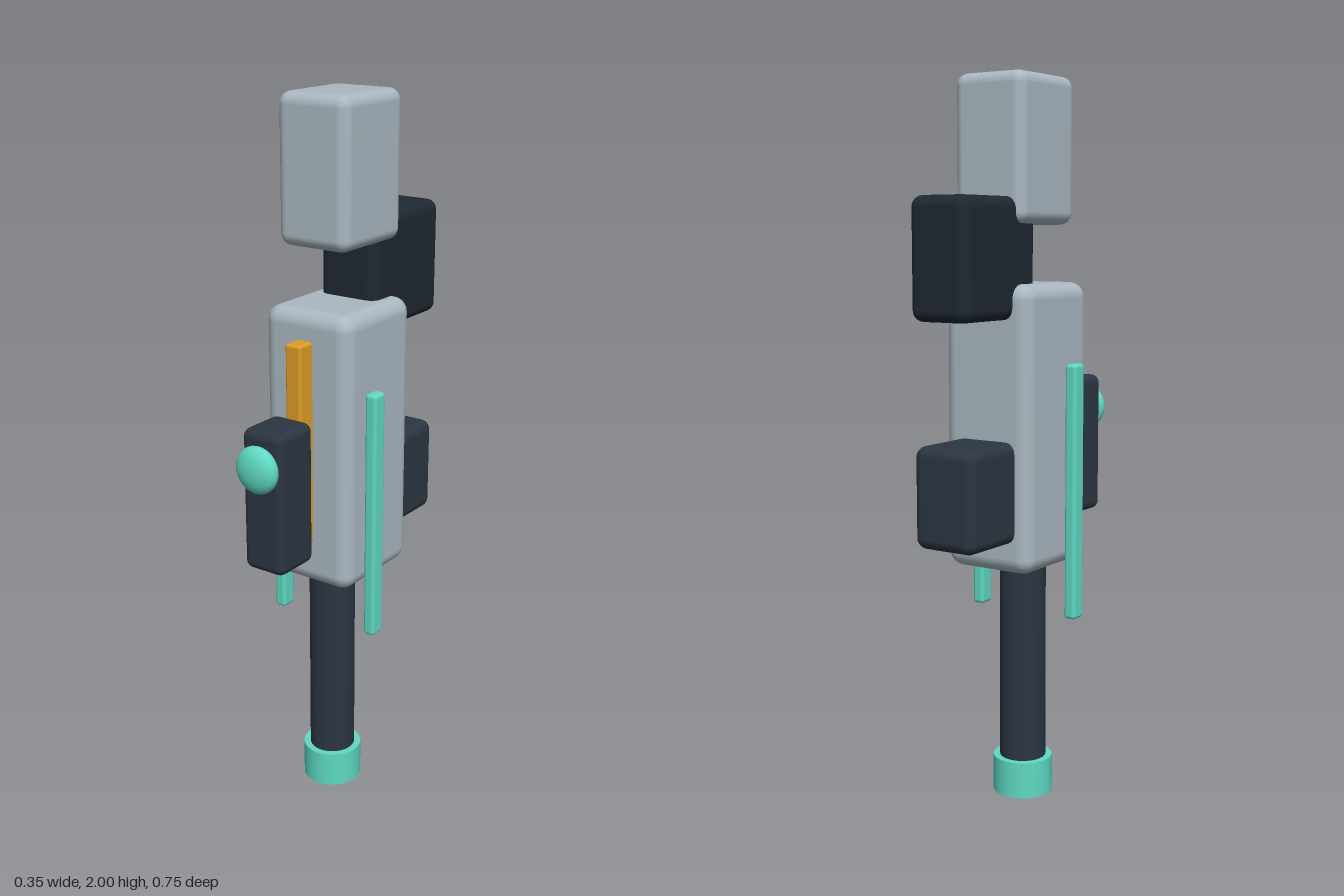
import * as THREE from 'three';
import { RoundedBoxGeometry } from 'three/addons/geometries/RoundedBoxGeometry.js';

const material = (color) => new THREE.MeshStandardMaterial({ color });

export function createModel() {
  const model = new THREE.Group();
  model.name = 'model';
  const shell = material(0xaab8c2);
  const dark = material(0x2b3642);
  const darker = material(0x1f2832);
  const teal = material(0x5fd9c3);
  const amber = material(0xe09c26);

  const add = (name, geometry, mat, x, y, z) => {
    const mesh = new THREE.Mesh(geometry, mat);
    mesh.name = name;
    mesh.position.set(x, y, z);
    model.add(mesh);
    return mesh;
  };

  // Rounded block given by its lower and upper limits on each axis
  const block = (name, mat, [x0, x1], [y0, y1], [z0, z1], radius) =>
    add(name, new RoundedBoxGeometry(x1 - x0, y1 - y0, z1 - z0, 4, radius), mat,
      (x0 + x1) / 2, (y0 + y1) / 2, (z0 + z1) / 2);

  // Upright cylinder between two heights
  const post = (name, mat, radius, y0, y1, z) =>
    add(name, new THREE.CylinderGeometry(radius, radius, y1 - y0, 32), mat, 0, (y0 + y1) / 2, z);

  // Body stack
  block('body', shell, [-0.138, 0.138], [0.677, 1.453], [-0.17, 0.138], 0.042);
  block('head', shell, [-0.11, 0.11], [1.608, 2], [-0.156, 0.108], 0.032);

  // Blocks on the back; the upper one carries the head
  block('upperBackBlock', darker, [-0.09, 0.09], [1.36, 1.68], [-0.378, -0.053], 0.03);
  block('lowerBackBlock', dark, [-0.096, 0.096], [0.763, 1.037], [-0.362, -0.1], 0.03);

  // Stem and foot
  post('stem', dark, 0.065, 0.05, 0.75, 0.013);
  post('foot', teal, 0.084, 0, 0.104, 0.013);

  // Front rail, handle block and its domed button
  block('frontRail', amber, [-0.025, 0.025], [0.81, 1.376], [0.125, 0.19], 0.008);
  block('frontBlock', dark, [-0.065, 0.065], [0.78, 1.178], [0.184, 0.33], 0.024);
  add('button', new THREE.SphereGeometry(0.065, 32, 20), teal, 0, 1.08, 0.344).scale.z = 0.5;

  // Thin strips on both sides
  for (const [name, side] of [['leftStrip', 1], ['rightStrip', -1]]) {
    const strip = block(name, teal, [0.138, 0.173], [0.525, 1.235], [0.01, 0.059], 0.01);
    strip.position.x *= side;
  }

  return model;
}
